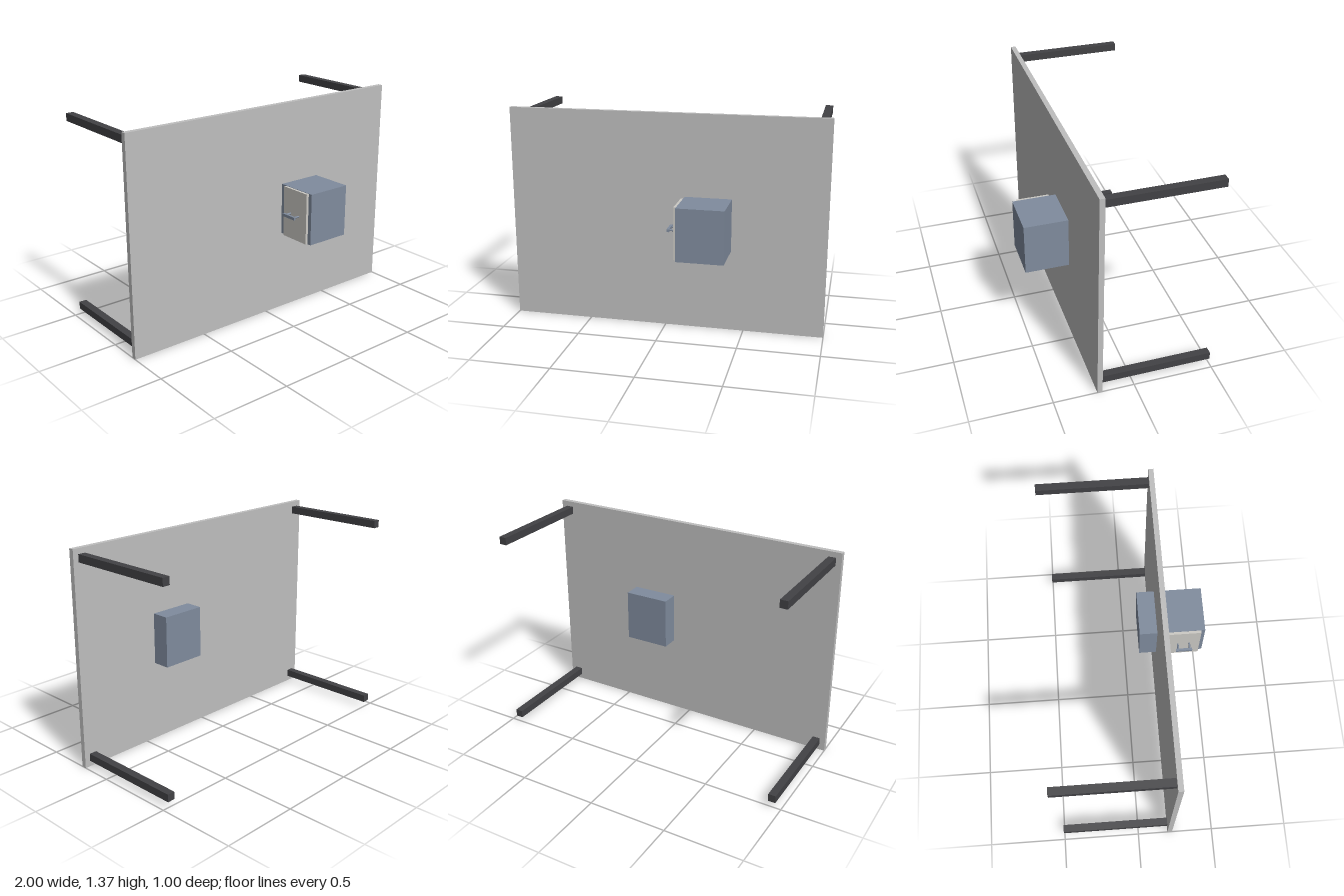
import * as THREE from 'three';

const paint = (name, color) => {
  const m = new THREE.MeshStandardMaterial({ color });
  m.name = name;
  return m;
};

export function createModel() {
  const grey = paint('light grey', 0xbfbfbf);
  const pale = paint('pale grey', 0xcbc9c4);
  const blue = paint('slate blue', 0x808c9e);
  const dark = paint('charcoal', 0x424245);
  const group = new THREE.Group();

  // Box given by its lower and upper corners
  const box = (name, mat, [x0, y0, z0], [x1, y1, z1]) => {
    const mesh = new THREE.Mesh(new THREE.BoxGeometry(x1 - x0, y1 - y0, z1 - z0), mat);
    mesh.position.set((x0 + x1) / 2, (y0 + y1) / 2, (z0 + z1) / 2);
    mesh.name = name;
    group.add(mesh);
  };

  // Table top, standing on its long edge
  box('tableTop', grey, [-1, 0, 0.198], [1, 1.368, 0.23]);

  // Four square legs pointing backwards
  for (const x of [-0.94, 0.94]) {
    for (const y of [0.06, 1.31]) {
      box('leg', dark, [x - 0.024, y - 0.024, -0.502], [x + 0.024, y + 0.024, 0.198]);
    }
  }

  // Cabinet passing through the top, with a drawer front on its right side
  box('cabinet', blue, [0.122, 0.521, 0.085], [0.415, 0.852, 0.503]);
  box('drawerFront', pale, [0.105, 0.523, 0.27], [0.122, 0.85, 0.477]);

  // Drawer handle: a grip on two short posts
  box('handleGrip', blue, [0.052, 0.679, 0.319], [0.067, 0.697, 0.424]);
  for (const z of [0.334, 0.409]) {
    const post = new THREE.Mesh(new THREE.CylinderGeometry(0.006, 0.006, 0.042, 12), blue);
    post.rotation.z = Math.PI / 2;
    post.position.set(0.085, 0.688, z);
    post.name = 'handlePost';
    group.add(post);
  }
  return group;
}
